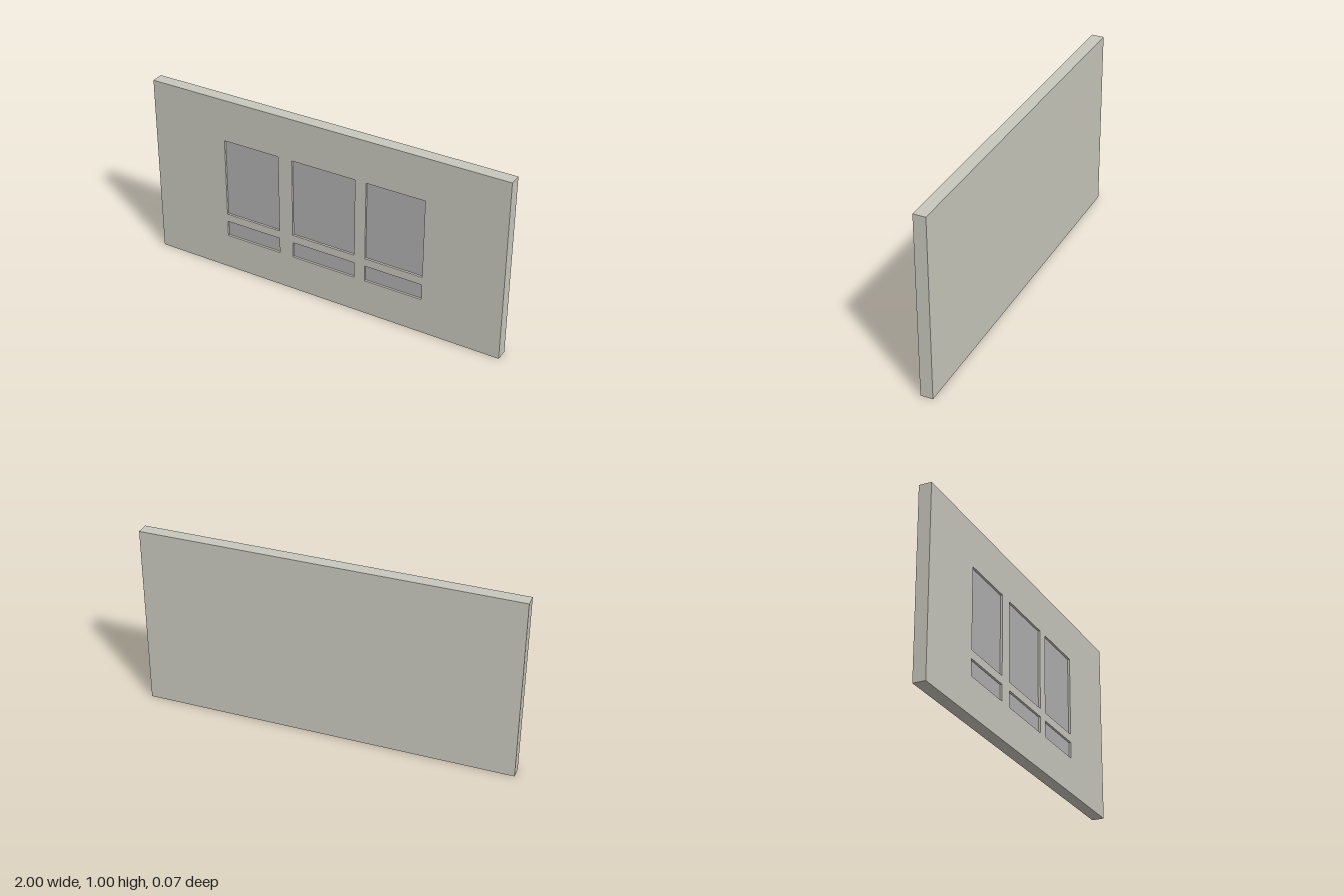
import * as THREE from 'three';

const WIDTH = 2, HEIGHT = 1, HALF = 0.033, RECESS = 0.012;
const COLUMNS = [[-0.575, -0.255], [-0.175, 0.185], [0.246, 0.567]];
const ROWS = [['upperPane', 0.33, 0.768], ['lowerPane', 0.197, 0.285]];

function rectangle(target, x0, x1, y0, y1) {
  target.moveTo(x0, y0);
  target.lineTo(x1, y0);
  target.lineTo(x1, y1);
  target.lineTo(x0, y1);
  target.closePath();
  return target;
}

export function createModel() {
  const group = new THREE.Group();
  group.name = 'windowWall';
  const wallMaterial = new THREE.MeshStandardMaterial({ color: 0xc9c8be });
  const paneMaterial = new THREE.MeshStandardMaterial({ color: 0xb1b1b1 });

  const add = (name, geometry, material, x, y, z) => {
    const mesh = new THREE.Mesh(geometry, material);
    mesh.name = name;
    mesh.position.set(x, y, z);
    group.add(mesh);
  };

  // Solid wall behind the recesses
  const backDepth = 2 * HALF - RECESS;
  add('wallBack', new THREE.BoxGeometry(WIDTH, HEIGHT, backDepth), wallMaterial,
    0, HEIGHT / 2, -HALF + backDepth / 2);

  // Front layer with window openings, and a shallow pane in each opening
  const face = rectangle(new THREE.Shape(), -WIDTH / 2, WIDTH / 2, 0, HEIGHT);
  const paneZ = HALF - RECESS + 0.0005;
  COLUMNS.forEach(([x0, x1], i) => {
    for (const [name, y0, y1] of ROWS) {
      face.holes.push(rectangle(new THREE.Path(), x0, x1, y0, y1));
      add(name + (i + 1), new THREE.PlaneGeometry(x1 - x0, y1 - y0), paneMaterial,
        (x0 + x1) / 2, (y0 + y1) / 2, paneZ);
    }
  });
  add('wallFront', new THREE.ExtrudeGeometry(face, { depth: RECESS, bevelEnabled: false }),
    wallMaterial, 0, 0, HALF - RECESS);

  return group;
}
